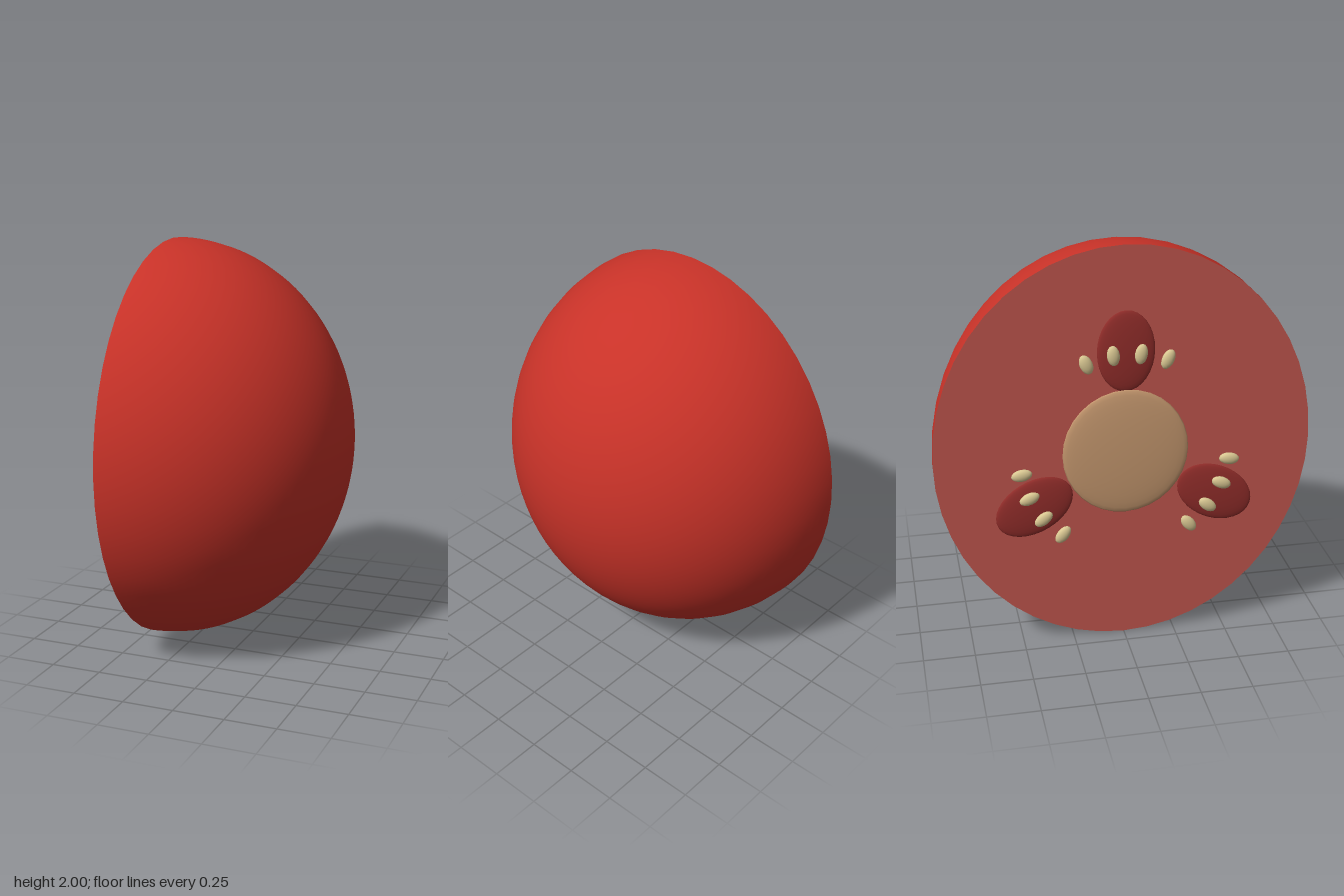
import * as THREE from 'three';

const CUT_X = -0.42; // plane of the cut face

function mat(name, color, side = THREE.FrontSide) {
  const m = new THREE.MeshStandardMaterial({ color, side });
  m.name = name;
  return m;
}

export function createModel() {
  const group = new THREE.Group();
  group.name = 'halvedFruit';

  const skin = mat('red skin', 0xc83228);
  const flesh = mat('pale red flesh', 0xc2574e);
  const coreTan = mat('tan core', 0xc89a70);
  const gel = mat('dark red gel', 0x942e2b);
  const seedCream = mat('cream seed', 0xdcca94);

  // Domed skin: half a sphere bulging toward +x, slightly taller than deep
  const dome = new THREE.SphereGeometry(1, 48, 32, 0, Math.PI * 2, 0, Math.PI / 2);
  dome.rotateZ(-Math.PI / 2);
  dome.scale(0.905, 1, 0.9);
  const skinMesh = new THREE.Mesh(dome, skin);
  skinMesh.name = 'skin';
  skinMesh.position.set(CUT_X, 1, 0);
  group.add(skinMesh);

  // Flat cut face looking toward -x
  const disc = new THREE.CircleGeometry(1, 48);
  disc.rotateY(-Math.PI / 2);
  disc.scale(1, 1, 0.9);
  const face = new THREE.Mesh(disc, flesh);
  face.name = 'cutFace';
  face.position.set(CUT_X, 1, 0);
  group.add(face);

  // Flattened ellipsoid lying on the cut face at a polar angle from the top
  function lens(name, material, x, distance, angle, size, segments) {
    const geo = new THREE.SphereGeometry(1, segments, segments / 2);
    geo.rotateZ(Math.PI / 2);
    geo.scale(...size);
    const mesh = new THREE.Mesh(geo, material);
    mesh.name = name;
    mesh.position.set(x, 1 + Math.cos(angle) * distance, Math.sin(angle) * distance);
    mesh.rotation.x = angle;
    group.add(mesh);
  }

  // Central core
  lens('core', coreTan, -0.445, 0, 0, [0.025, 0.315, 0.3], 32);

  // Three seed chambers, each with an arc of four seeds
  for (let i = 0; i < 3; i++) {
    const angle = (i * Math.PI * 2) / 3;
    lens('seedChamber', gel, -0.44, 0.503, angle, [0.02, 0.197, 0.135], 32);
    for (let j = 0; j < 4; j++) {
      lens('seed', seedCream, -0.47, 0.5, angle + (j - 1.5) * 0.26, [0.018, 0.05, 0.03], 16);
    }
  }

  return group;
}
